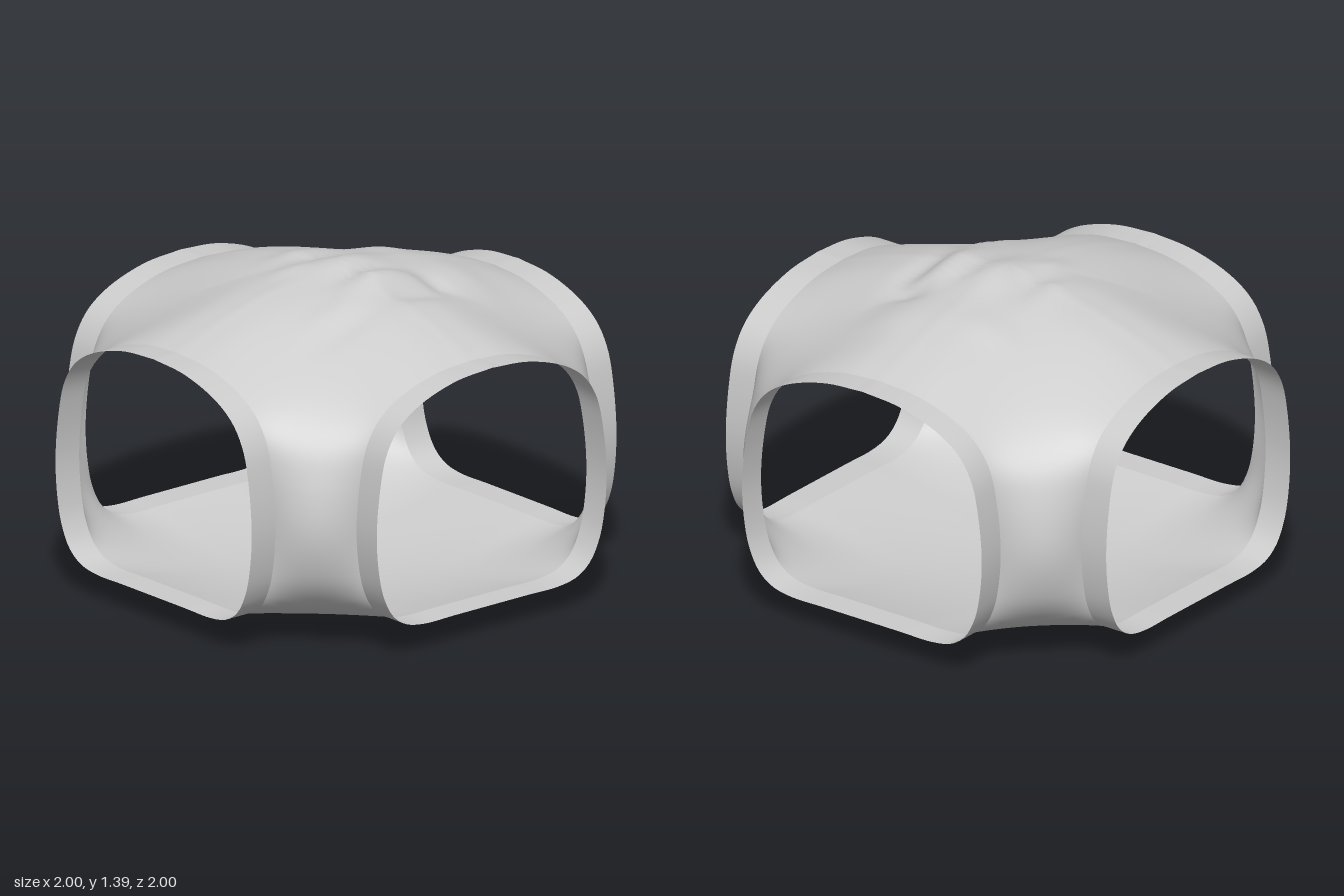
import * as THREE from 'three';
import { mergeVertices } from 'three/addons/utils/BufferGeometryUtils.js';

const RIM = 0.87;   // where the chamber meets each straight collar
const HALF = 0.63;  // half width of an opening

// Half outline of an opening, from the crown down to the middle of the floor
const outline = new THREE.CatmullRomCurve3([
  [0, 1.175], [0.2, 1.158], [0.4, 1.095], [0.51, 1.02], [0.575, 0.92], [0.61, 0.78], [0.63, 0.57],
  [0.617, 0.4], [0.59, 0.29], [0.54, 0.2], [0.47, 0.15], [0.37, 0.13], [0.2, 0.13], [0, 0.13],
].map(([u, y]) => new THREE.Vector3(u, y, 0))).getSpacedPoints(64);

// Rocky swellings in the ceiling: x, z, height, x radius, z radius
const lumps = [
  [0.05, 0.03, 0.035, 0.16, 0.14], [0.05, 0.24, 0.04, 0.2, 0.08], [0.13, 0.36, -0.03, 0.16, 0.06],
  [0.3, 0.28, -0.03, 0.06, 0.08], [-0.3, 0.32, 0.02, 0.16, 0.06], [-0.3, 0.41, -0.015, 0.15, 0.05],
  [-0.15, -0.1, 0.018, 0.1, 0.06], [0.0, -0.25, 0.018, 0.14, 0.07], [0.05, -0.14, -0.02, 0.13, 0.05],
  [0.4, -0.2, 0.012, 0.08, 0.15], [0.02, 0.13, -0.02, 0.15, 0.04], [0.5, 0.25, 0.015, 0.1, 0.14],
];
const rockiness = (x, z) => lumps.reduce((sum, [cx, cz, h, rx, rz]) =>
  sum + h * Math.exp(-(((x - cx) / rx) ** 2) - ((z - cz) / rz) ** 2), 0);

// Adds a grid of points to positions and indices
function addGrid(data, rows, cols, pointAt, flip) {
  const start = data.positions.length / 3;
  for (let i = 0; i <= rows; i++) {
    for (let j = 0; j <= cols; j++) data.positions.push(...pointAt(i, j));
  }
  for (let i = 0; i < rows; i++) {
    for (let j = 0; j < cols; j++) {
      const a = start + i * (cols + 1) + j;
      const b = a + cols + 1;
      if (flip) data.indices.push(a, a + 1, b, b, a + 1, b + 1);
      else data.indices.push(a, b, a + 1, b, b + 1, a + 1);
    }
  }
}

function finish(data) {
  const geometry = new THREE.BufferGeometry();
  geometry.setAttribute('position', new THREE.Float32BufferAttribute(data.positions, 3));
  geometry.setIndex(data.indices);
  const merged = mergeVertices(geometry, 1e-4);
  merged.computeVertexNormals();
  return merged;
}

// Plan path from one opening to its neighbour: an L through the centre at the
// crown and floor, easing into a rounded corner pillar at the widest height
function planPoint(u, t) {
  const corner = 0.785 * u / HALF;
  const control = 2 * corner - (u + RIM) / 2;
  const curve = (a, b) => (1 - t) ** 2 * a + 2 * t * (1 - t) * control + t * t * b;
  const bent = (a, b) => (t < 0.5 ? a + (corner - a) * 2 * t : corner + (b - corner) * (2 * t - 1));
  const w = Math.min(1, u / 0.4);
  return [[u, RIM], [RIM, u]].map(([a, b]) => THREE.MathUtils.lerp(bent(a, b), curve(a, b), w));
}

// Central chamber: four mirrored quadrants with domed ceiling and dished floor
function chamberGeometry() {
  const data = { positions: [], indices: [] };
  const cols = 56;
  for (const sx of [1, -1]) {
    for (const sz of [1, -1]) {
      addGrid(data, outline.length - 1, cols, (i, j) => {
        const { x: u, y } = outline[i];
        const [px, pz] = planPoint(Math.max(0, u), j / cols);
        const x = px * sx;
        const z = pz * sz;
        const swell = Math.max(0, 1 - (px / RIM) ** 2) * Math.max(0, 1 - (pz / RIM) ** 2);
        const k = y > 0.6 ? (y - 0.6) / 0.575 : (y - 0.6) / 0.47;
        const rise = k > 0 ? k * (0.19 * swell + k * k * rockiness(x, z) * Math.min(1, swell * 3))
          : k * 0.125 * swell;
        return [x, y + rise, z];
      }, sx * sz < 0);
    }
  }
  return finish(data);
}

// Straight collar around one opening
function collarGeometry() {
  const data = { positions: [], indices: [] };
  const loop = [...outline.map((p) => [p.x, p.y]), ...outline.slice(0, -1).reverse().map((p) => [-p.x, p.y])];
  addGrid(data, loop.length - 1, 1, (i, j) => [...loop[i], j ? RIM : 1], false);
  return finish(data);
}

export function createModel() {
  const model = new THREE.Group();
  model.name = 'tunnelCrossing';
  const stone = new THREE.MeshStandardMaterial({ color: 0xcccccc, side: THREE.DoubleSide });
  stone.name = 'grey stone';

  const chamber = new THREE.Mesh(chamberGeometry(), stone);
  chamber.name = 'chamber';
  model.add(chamber);

  const collar = collarGeometry();
  ['frontCollar', 'leftCollar', 'backCollar', 'rightCollar'].forEach((name, i) => {
    const mesh = new THREE.Mesh(collar, stone);
    mesh.name = name;
    mesh.rotation.y = i * Math.PI / 2;
    model.add(mesh);
  });
  return model;
}
